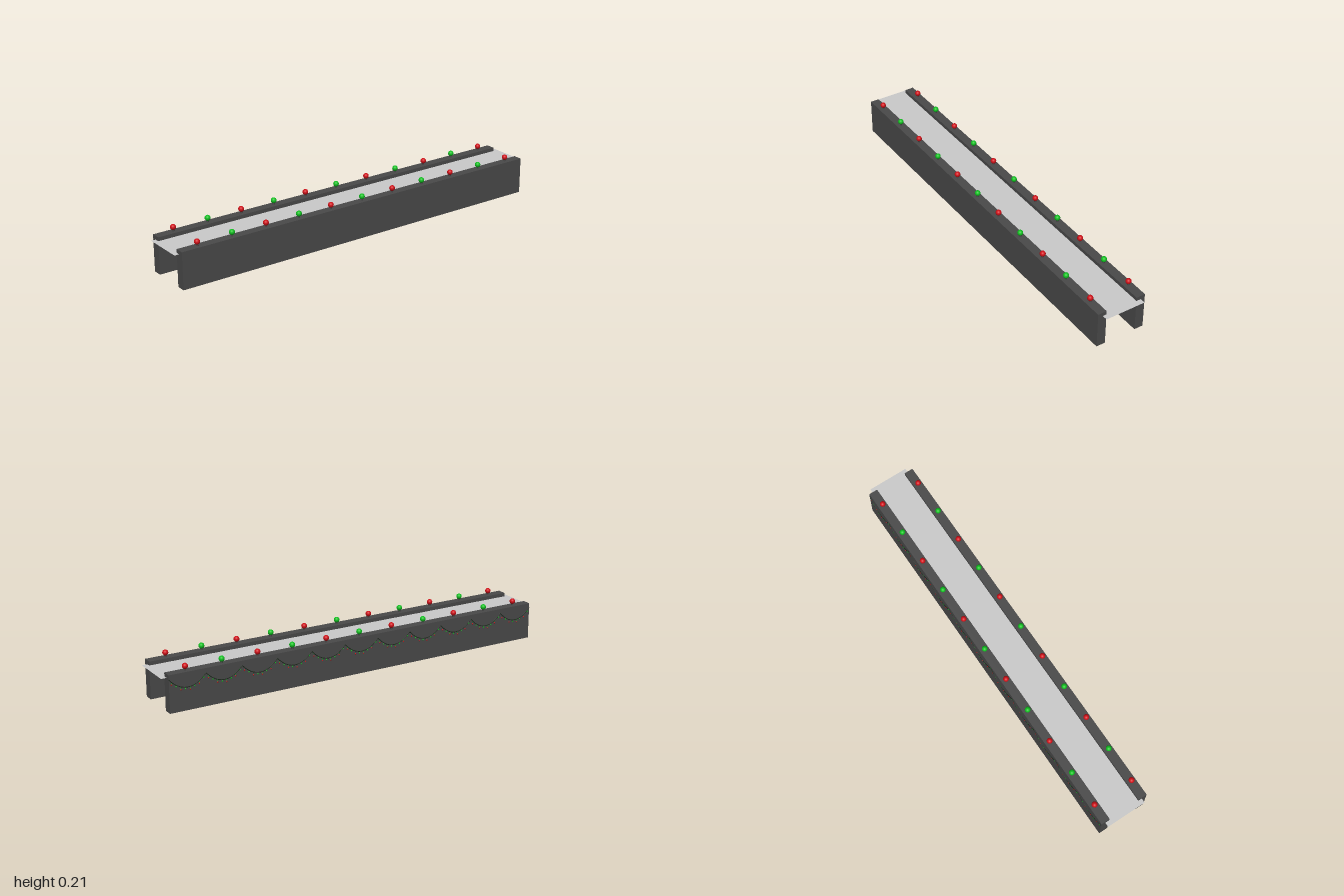
import * as THREE from 'three';

const mat = (color, extra = {}) => new THREE.MeshStandardMaterial({ color, ...extra });

export function createModel() {
  const model = new THREE.Group();
  const dark = mat(0x4a4a4a), red = mat(0xd01018), green = mat(0x10c020);
  const cordMat = mat(0x1c2a1c);

  const add = (parent, name, geometry, material, x, y, z) => {
    const mesh = new THREE.Mesh(geometry, material);
    mesh.name = name;
    mesh.position.set(x, y, z);
    parent.add(mesh);
    return mesh;
  };

  // Thin deck between the walls, slightly longer than them
  const deck = add(model, 'deck', new THREE.PlaneGeometry(2, 0.2),
    mat(0xcccccc, { side: THREE.DoubleSide }), 0, 0.16, 0);
  deck.rotation.x = -Math.PI / 2;

  // Side walls with a row of alternating lamps on short posts
  const length = 1.951, height = 0.178, count = 11, midX = -0.002;
  const pitch = length / count;
  const wallGeo = new THREE.BoxGeometry(length, height, 0.044);
  const postGeo = new THREE.CylinderGeometry(0.005, 0.005, 0.018, 12);
  const lampGeo = new THREE.SphereGeometry(0.0135, 24, 16);
  for (const [side, z] of [['front', 0.103], ['back', -0.099]]) {
    const wall = new THREE.Group();
    wall.name = side + 'Wall';
    add(wall, side + 'WallPanel', wallGeo, dark, midX, height / 2, z);
    for (let i = 0; i < count; i++) {
      const x = midX + (i - (count - 1) / 2) * pitch;
      add(wall, 'lampPost', postGeo, dark, x, height + 0.006, z);
      add(wall, 'lamp', lampGeo, i % 2 ? green : red, x, 0.198, z);
    }
    model.add(wall);
  }

  // Garland: swags of cord along the outside of the back wall
  const garland = new THREE.Group();
  garland.name = 'garland';
  const faceZ = -0.121, peakY = 0.156, sag = 0.048, bulbs = 8;
  const cordY = t => peakY - sag * 4 * t * (1 - t);
  const points = [];
  for (let j = 0; j <= 12; j++) {
    points.push(new THREE.Vector3((j / 12 - 0.5) * pitch, cordY(j / 12), 0));
  }
  const cordGeo = new THREE.TubeGeometry(new THREE.CatmullRomCurve3(points), 24, 0.002, 6);
  const bulbGeo = new THREE.SphereGeometry(0.0026, 10, 8).scale(1, 1.5, 1);
  const wireGeo = new THREE.CylinderGeometry(0.001, 0.001, 1, 6);
  for (let i = 0; i < count; i++) {
    const x0 = midX + (i - (count - 1) / 2) * pitch;
    add(garland, 'garlandCord', cordGeo, cordMat, x0, 0, faceZ);
    // Small lights hanging at two lengths
    for (let j = 0; j < bulbs; j++) {
      const t = (j + 0.5) / bulbs;
      const x = x0 + (t - 0.5) * pitch;
      const drop = j % 2 ? 0.013 : 0.007;
      const wire = add(garland, 'lightWire', wireGeo, green, x, cordY(t) - drop / 2, faceZ);
      wire.scale.y = drop;
      add(garland, 'garlandLight', bulbGeo, j % 2 ? red : green, x, cordY(t) - drop, faceZ);
    }
  }
  model.add(garland);

  return model;
}
